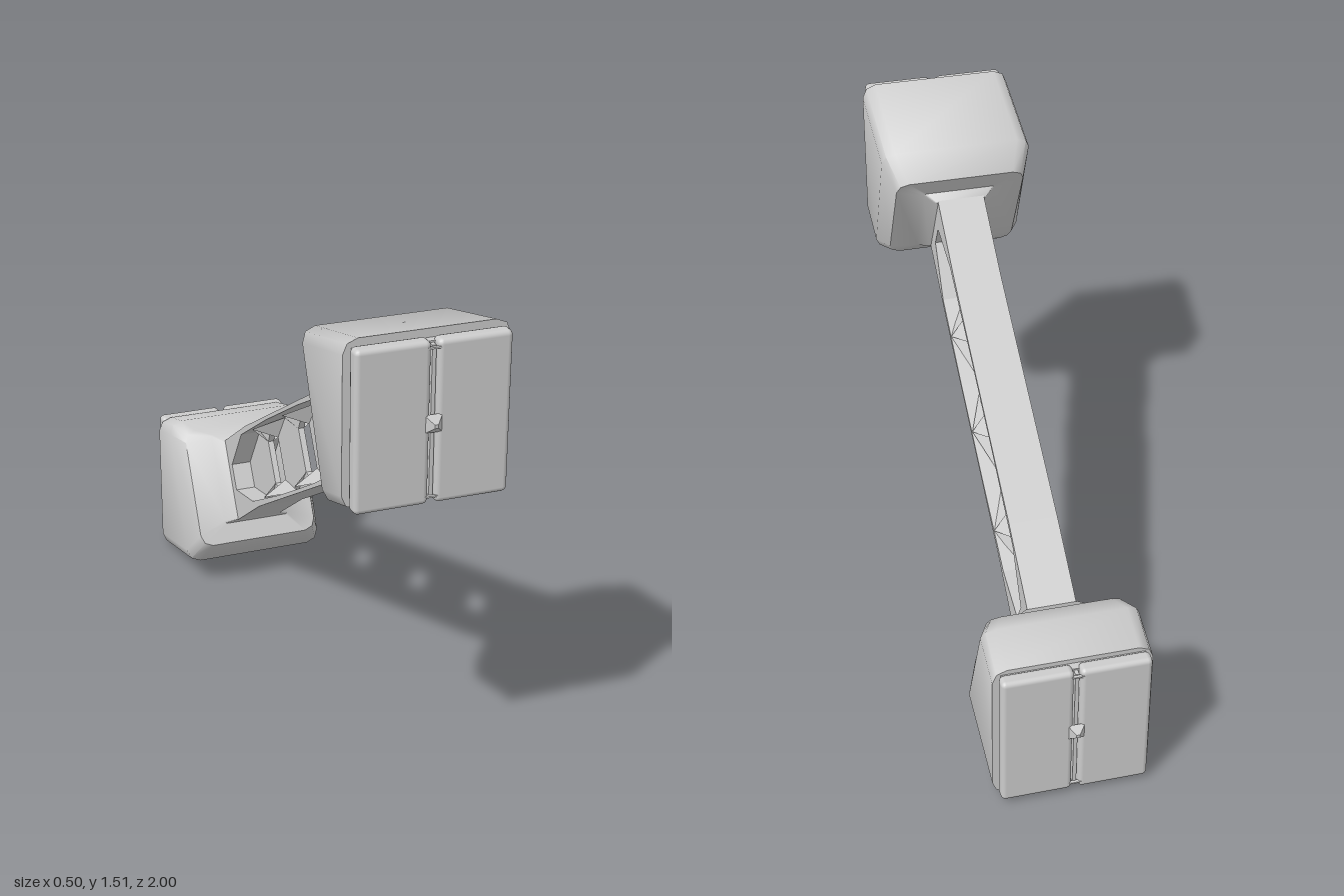
import * as THREE from 'three';
import { toCreasedNormals } from 'three/addons/utils/BufferGeometryUtils.js';
import { RoundedBoxGeometry } from 'three/addons/geometries/RoundedBoxGeometry.js';

const MID_Y = 0.757; // height of the centre that both ends turn about
const HALF = 0.078;  // half thickness of the arm
const grey = new THREE.MeshStandardMaterial({ color: 0xcccccc });
const greyDouble = new THREE.MeshStandardMaterial({ color: 0xcccccc, side: THREE.DoubleSide, flatShading: true });

function add(parent, name, geometry, x = 0, y = 0, z = 0, material = grey) {
  const mesh = new THREE.Mesh(geometry, material);
  mesh.name = name;
  mesh.position.set(x, y, z);
  parent.add(mesh);
  return mesh;
}

// Rounded rectangle standing on the slanted line from bottom to top, each given as [z, y]
function ring(top, bottom, w, r) {
  const height = Math.hypot(top[0] - bottom[0], top[1] - bottom[1]);
  const points = [];
  [[1, 1], [-1, 1], [-1, -1], [1, -1]].forEach(([sx, sy], corner) => {
    for (let s = 0; s <= 2; s++) {
      const a = (corner + s / 2) * Math.PI / 2;
      const x = sx * (w - r) + r * Math.cos(a);
      const t = 0.5 + (sy * (height / 2 - r) + r * Math.sin(a)) / height;
      points.push(new THREE.Vector3(x,
        bottom[1] + (top[1] - bottom[1]) * t - MID_Y,
        bottom[0] + (top[0] - bottom[0]) * t));
    }
  });
  return points;
}

// Closed skin through the rings, from front to back
function loft(rings) {
  const pos = [];
  const tri = (...pts) => pts.forEach(p => pos.push(p.x, p.y, p.z));
  const n = rings[0].length;
  const centre = r => r.reduce((s, p) => s.add(p), new THREE.Vector3()).divideScalar(n);
  const first = rings[0], last = rings[rings.length - 1];
  const c0 = centre(first), c1 = centre(last);
  for (let i = 0; i < n; i++) {
    const j = (i + 1) % n;
    tri(c0, first[i], first[j]);
    tri(c1, last[j], last[i]);
    for (let k = 0; k < rings.length - 1; k++) {
      const a = rings[k], b = rings[k + 1];
      tri(a[i], b[i], a[j]);
      tri(a[j], b[i], b[j]);
    }
  }
  const g = new THREE.BufferGeometry();
  g.setAttribute('position', new THREE.Float32BufferAttribute(pos, 3));
  return toCreasedNormals(g, 0.9);
}

function createHead() {
  const head = new THREE.Group();
  // Tapered housing with a flared neck
  add(head, 'housing', loft([
    ring([0.925, 1.513], [0.925, 1.0], 0.25, 0.045),
    ring([0.593, 1.428], [0.79, 0.957], 0.25, 0.045),
    ring([0.53, 1.342], [0.722, 0.972], 0.215, 0.04),
    ring([0.562, 1.28], [0.708, 0.995], 0.12, 0.01),
    ring([0.535, 1.257], [0.674, 1.005], 0.085, 0.004),
  ]));
  // Double doors with a raised seam and a small latch
  const doorY = 1.251 - MID_Y;
  add(head, 'doorBacking', new THREE.BoxGeometry(0.45, 0.47, 0.03), 0, doorY, 0.935);
  for (const s of [-1, 1]) {
    add(head, 'door', new RoundedBoxGeometry(0.224, 0.492, 0.05, 2, 0.016), s * 0.122, doorY, 0.955);
    add(head, 'seamCap', new THREE.BoxGeometry(0.1, 0.005, 0.01), 0, doorY + s * 0.224, 0.974);
  }
  add(head, 'doorSeam', new THREE.BoxGeometry(0.012, 0.46, 0.03), 0, doorY, 0.955);
  const latch = new THREE.CylinderGeometry(0.008, 0.039, 0.024, 4);
  latch.rotateY(Math.PI / 4).rotateX(Math.PI / 2);
  add(head, 'latch', toCreasedNormals(latch, 0.3), 0, doorY, 0.988);
  return head;
}

const vectors = list => list.map(([u, v]) => new THREE.Vector2(u, v));
// A half outline completed by a half turn
const turned = half => vectors([...half, ...half.map(([u, v]) => [-u, -v])]);

function slab(outline, holes, depth) {
  const shape = new THREE.Shape(outline);
  holes.forEach(h => shape.holes.push(new THREE.Path(h)));
  return new THREE.ExtrudeGeometry(shape, { depth, bevelEnabled: false }).translate(0, 0, -depth / 2);
}

function createArm() {
  const arm = new THREE.Group();
  const outline = turned([[-0.72, -0.123], [-0.43, -0.14], [0.43, -0.142], [0.72, -0.164]]);
  const window_ = turned([[-0.67, -0.032], [-0.495, -0.118], [-0.177, -0.128],
    [0.177, -0.128], [0.495, -0.118], [0.67, -0.06]]);
  add(arm, 'armFrame', slab(outline, [window_], HALF * 2));

  // Central web of hexagonal panels with openings between them
  const gaps = [-0.354, 0, 0.354];
  const openings = gaps.map(g => vectors([[g, 0.112], [g - 0.059, 0.073], [g - 0.059, -0.073],
    [g, -0.112], [g + 0.059, -0.073], [g + 0.059, 0.073]]));
  add(arm, 'hexagonWeb', slab(window_, openings, 0.02));

  // Sloping gussets from the openings out to the frame edges
  const pos = [];
  for (const g of gaps) for (const su of [-1, 1]) for (const sv of [-1, 1]) for (const sx of [-1, 1]) {
    const far = g + su * 0.177;
    const end = Math.abs(far) > 0.5 ? Math.sign(far) * 0.495 : far;
    pos.push(g, sv * 0.118, sx * HALF,
      g + su * 0.059, sv * 0.073, sx * 0.01,
      end, sv * 0.126, sx * 0.011);
  }
  const gusset = new THREE.BufferGeometry();
  gusset.setAttribute('position', new THREE.Float32BufferAttribute(pos, 3));
  gusset.computeVertexNormals();
  add(arm, 'gussets', gusset, 0, 0, 0, greyDouble);

  // Lay the arm along its downward slope
  arm.quaternion.setFromRotationMatrix(new THREE.Matrix4().makeBasis(
    new THREE.Vector3(0, -0.503, -0.864).normalize(),
    new THREE.Vector3(0, 0.864, -0.503).normalize(),
    new THREE.Vector3(1, 0, 0)));
  return arm;
}

export function createModel() {
  const model = new THREE.Group();
  model.name = 'doubleEndedArm';
  const body = new THREE.Group();
  body.name = 'body';
  body.position.y = MID_Y;
  const front = createHead();
  front.name = 'frontHead';
  const back = createHead();
  back.name = 'backHead';
  back.rotation.x = Math.PI;
  const arm = createArm();
  arm.name = 'arm';
  body.add(front, back, arm);
  model.add(body);
  return model;
}
